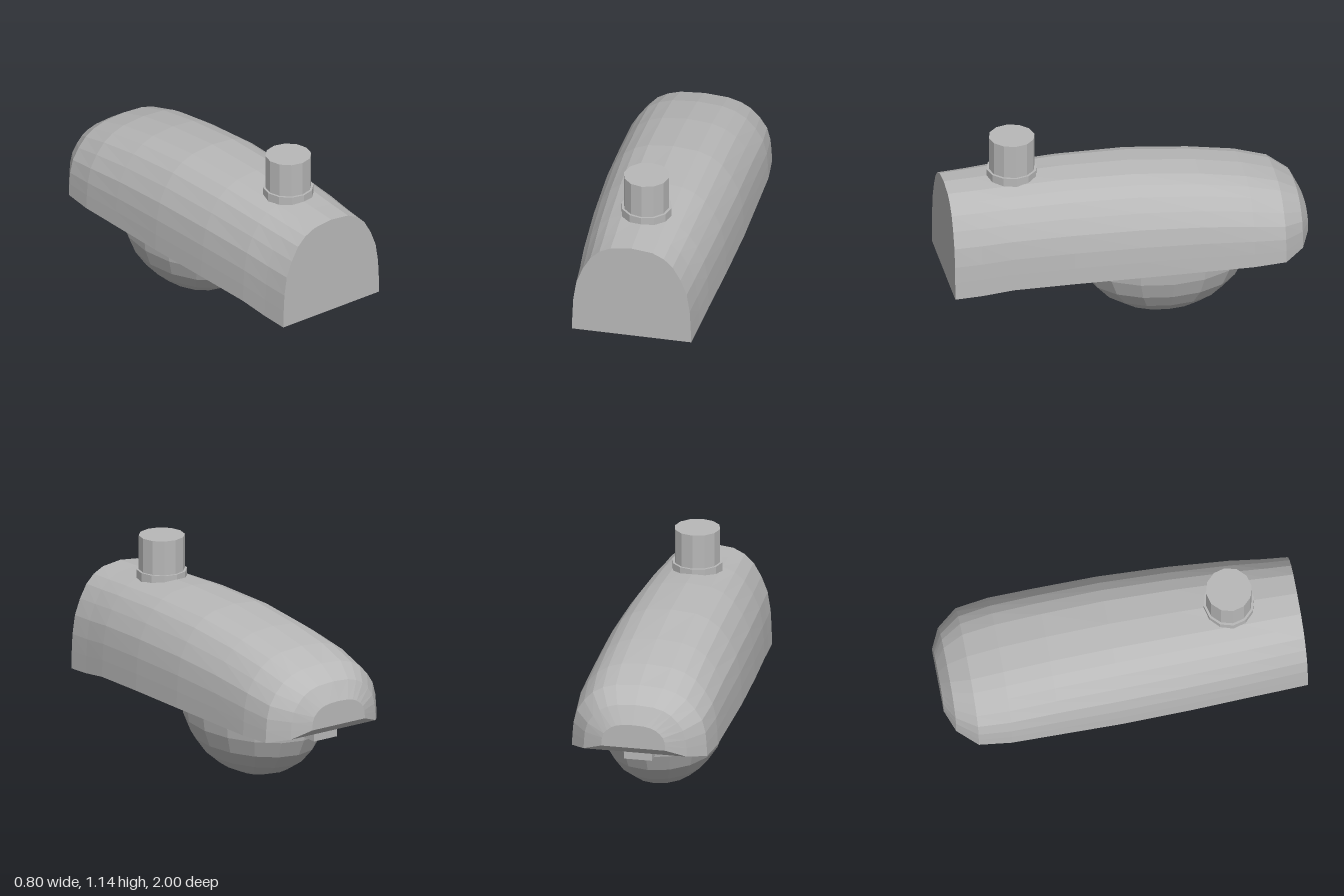
import * as THREE from 'three';

const grey = new THREE.MeshStandardMaterial({ color: 0xb8b8b8, flatShading: true });
grey.name = 'painted grey';

// Arched half-section: x as a share of half width, y as a share of height
const HALF = [[1, 0], [0.99, 0.18], [0.975, 0.35], [0.925, 0.54], [0.82, 0.7],
  [0.69, 0.835], [0.54, 0.92], [0.35, 0.975], [0, 1]];

// Housing stations: z, half width, bottom, top
const STATIONS = [
  [1, 0.335, 0.34, 0.9], [0.85, 0.347, 0.353, 0.906], [0.68, 0.364, 0.38, 0.915],
  [0.34, 0.386, 0.394, 0.928], [-0.05, 0.4, 0.4, 0.923], [-0.4, 0.4, 0.4, 0.886],
  [-0.66, 0.4, 0.4, 0.84], [-0.84, 0.38, 0.4, 0.785], [-0.95, 0.29, 0.43, 0.71],
  [-1, 0.18, 0.475, 0.61],
];

// Skin the arched section through all stations and close both ends
function housingGeometry() {
  const section = [...HALF, ...HALF.slice(0, -1).reverse().map(([x, y]) => [-x, y])];
  const n = section.length;
  const positions = [];
  const index = [];
  for (const [z, w, b, t] of STATIONS) {
    for (const [x, y] of section) positions.push(x * w, b + y * (t - b), z);
  }
  for (let s = 0; s < STATIONS.length - 1; s++) {
    for (let i = 0; i < n; i++) {
      const a = s * n + i, b = s * n + (i + 1) % n;
      index.push(a, a + n, b, b, a + n, b + n);
    }
  }
  const last = (STATIONS.length - 1) * n;
  for (let i = 1; i < n - 1; i++) {
    index.push(0, i, i + 1);
    index.push(last, last + i + 1, last + i);
  }
  const geo = new THREE.BufferGeometry();
  geo.setAttribute('position', new THREE.Float32BufferAttribute(positions, 3));
  geo.setIndex(index);
  const flat = geo.toNonIndexed();
  flat.computeVertexNormals();
  return flat;
}

export function createModel() {
  const model = new THREE.Group();
  model.name = 'streetLampHead';

  const add = (name, geometry, x, y, z) => {
    const mesh = new THREE.Mesh(geometry, grey);
    mesh.name = name;
    mesh.position.set(x, y, z);
    model.add(mesh);
    return mesh;
  };

  add('housing', housingGeometry(), 0, 0, 0);

  // Glass bowl: lower half of an ellipsoid
  const bowl = new THREE.SphereGeometry(1, 16, 6, 0, Math.PI * 2, Math.PI / 2, Math.PI / 2);
  bowl.scale(0.346, 0.398, 0.48);
  add('lampBowl', bowl, 0, 0.402, -0.22);

  // Latch under the tail
  add('latch', new THREE.BoxGeometry(0.155, 0.06, 0.11), 0, 0.39, -0.825);

  // Sensor on top, with its collar
  add('sensorCollar', new THREE.CylinderGeometry(0.14, 0.14, 0.06, 12), 0, 0.92, 0.62);
  add('sensor', new THREE.CylinderGeometry(0.127, 0.127, 0.245, 12), 0, 1.0225, 0.62);

  return model;
}
